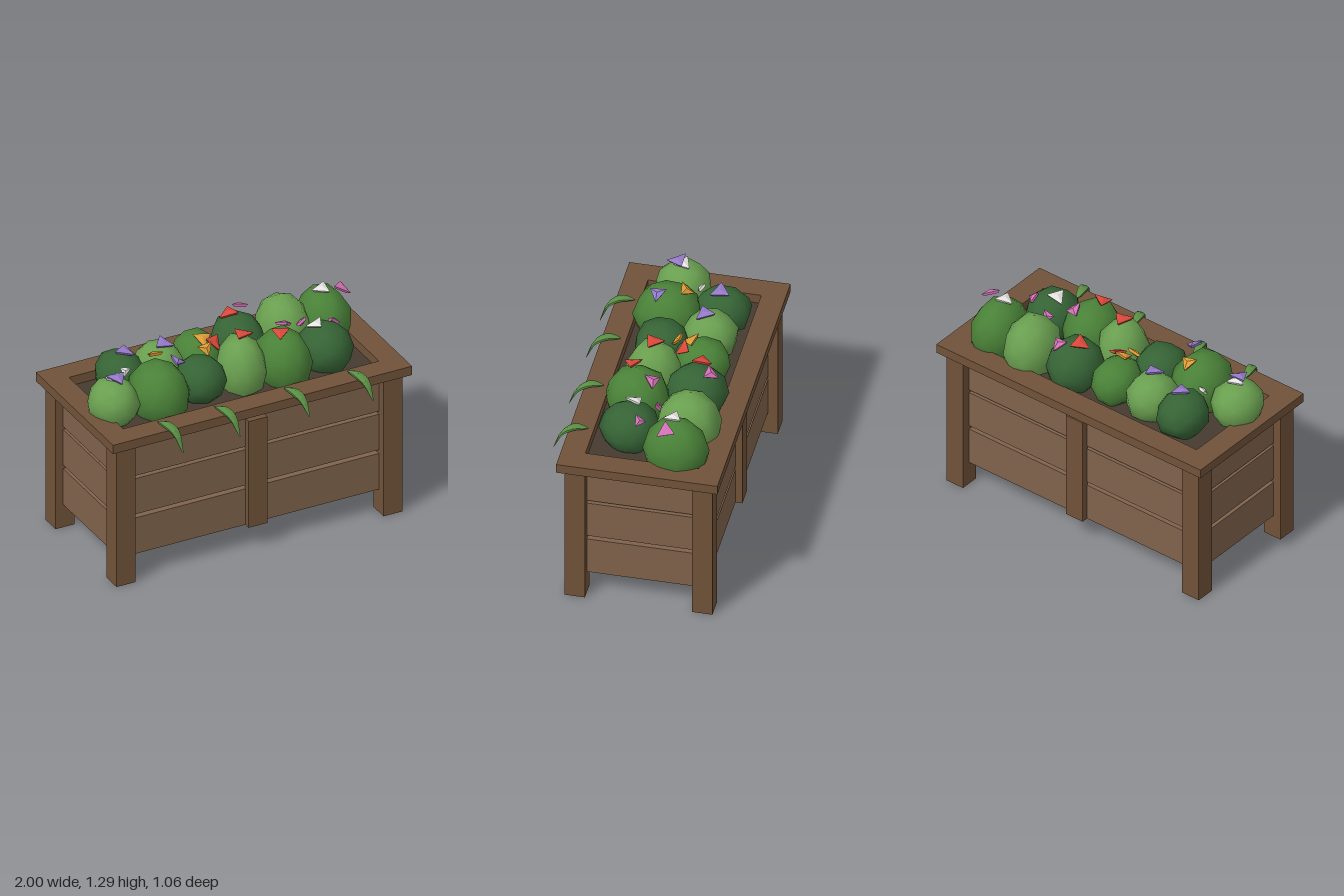
import * as THREE from 'three';

const ZC = -0.045; // centre of the box, front to back
const paint = (color, flat = false) =>
  new THREE.MeshStandardMaterial({ color, flatShading: flat });
const postWood = paint(0x705239), slatWood = paint(0x7f624b);
const soilMat = paint(0x463a30), floorMat = paint(0x3a2d22);
const greens = {
  light: paint(0x6aa050), mid: paint(0x4a8238), dark: paint(0x366436),
};
const petals = {
  purple: paint(0x9479c8, true), white: paint(0xe4e2e0, true), red: paint(0xd8483a, true),
  pink: paint(0xd070b4, true), orange: paint(0xdc9c38, true),
};

// Box given by its lower and upper corner
function slab(parent, name, mat, [x0, y0, z0], [x1, y1, z1]) {
  const mesh = new THREE.Mesh(new THREE.BoxGeometry(x1 - x0, y1 - y0, z1 - z0), mat);
  mesh.name = name;
  mesh.position.set((x0 + x1) / 2, (y0 + y1) / 2, (z0 + z1) / 2);
  parent.add(mesh);
}

function makePlanter() {
  const g = new THREE.Group();
  g.name = 'planterBox';
  const rows = [[0.155, 0.4], [0.425, 0.668], [0.688, 0.935]];
  for (const s of [-1, 1]) {
    const side = s > 0 ? 'Left' : 'Right', face = s > 0 ? 'front' : 'back';
    const span = (a, b) => [Math.min(s * a, s * b), Math.max(s * a, s * b)];
    // Corner posts
    for (const t of [-1, 1]) {
      const [x0, x1] = span(0.83, 0.955);
      const zm = ZC + t * 0.386;
      slab(g, (t > 0 ? 'front' : 'back') + side + 'Post', postWood,
        [x0, 0, zm - 0.0625], [x1, 0.94, zm + 0.0625]);
    }
    // Slats on the long and the short walls
    const [zs0, zs1] = span(0.345, 0.39), [xs0, xs1] = span(0.86, 0.905);
    for (const [y0, y1] of rows) {
      slab(g, face + 'Slat', slatWood, [-0.84, y0, ZC + zs0], [0.84, y1, ZC + zs1]);
      slab(g, 'end' + side + 'Slat', slatWood, [xs0, y0, ZC - 0.34], [xs1, y1, ZC + 0.34]);
    }
    // Upright batten in the middle of each long wall
    const [zb0, zb1] = span(0.385, 0.432);
    slab(g, face + 'Batten', postWood, [-0.063, 0.155, ZC + zb0], [0.063, 0.88, ZC + zb1]);
  }
  slab(g, 'floor', floorMat, [-0.865, 0.148, ZC - 0.35], [0.865, 0.18, ZC + 0.35]);
  slab(g, 'soil', soilMat, [-0.865, 0.86, ZC - 0.35], [0.865, 0.938, ZC + 0.35]);

  // Rim board with a rectangular opening
  const rect = (P, x, z) => {
    const p = new P();
    p.moveTo(-x, -z); p.lineTo(x, -z); p.lineTo(x, z); p.lineTo(-x, z); p.closePath();
    return p;
  };
  const shape = rect(THREE.Shape, 1, 0.488);
  shape.holes.push(rect(THREE.Path, 0.855, 0.343));
  const rim = new THREE.Mesh(
    new THREE.ExtrudeGeometry(shape, { depth: 0.06, bevelEnabled: false }).rotateX(-Math.PI / 2),
    postWood);
  rim.name = 'rim';
  rim.position.set(0, 0.94, ZC);
  g.add(rim);
  return g;
}

// x, z, half width, half depth, top, shade
const BUSHES = [
  [-0.8, 0.07, 0.155, 0.168, 1.21, 'light'], [-0.51, 0.1, 0.18, 0.205, 1.26, 'mid'],
  [-0.22, 0.07, 0.155, 0.165, 1.2, 'dark'], [0.06, 0.06, 0.15, 0.17, 1.27, 'light'],
  [0.32, 0.1, 0.17, 0.195, 1.26, 'mid'], [0.61, 0.08, 0.165, 0.18, 1.215, 'dark'],
  [-0.61, -0.21, 0.15, 0.175, 1.2, 'dark'], [-0.36, -0.19, 0.155, 0.165, 1.21, 'light'],
  [-0.1, -0.2, 0.145, 0.17, 1.2, 'mid'], [0.19, -0.23, 0.17, 0.185, 1.23, 'dark'],
  [0.5, -0.25, 0.165, 0.195, 1.27, 'light'], [0.76, -0.23, 0.16, 0.2, 1.265, 'mid'],
];
const BUSH_Y = 1.05;

// Leafy mound: a coarse ball with a gentle uneven surface
function makeBush([x, z, rx, rz, top, shade], i) {
  const geo = new THREE.IcosahedronGeometry(1, 1);
  const p = geo.attributes.position, v = new THREE.Vector3();
  for (let k = 0; k < p.count; k++) {
    v.fromBufferAttribute(p, k);
    v.multiplyScalar(1 + 0.06 * Math.sin(v.x * 5 + i * 2.1) * Math.cos(v.z * 4 - v.y * 3 + i));
    p.setXYZ(k, v.x, v.y, v.z);
  }
  geo.rotateY(i * 1.3);
  const bush = new THREE.Mesh(geo, greens[shade]);
  bush.name = 'bush';
  bush.position.set(x, BUSH_Y, z);
  bush.scale.set(rx, top - BUSH_Y, rz);
  return bush;
}

// x, y, z, colour, size
const FLOWERS = [
  [-0.79, 1.225, 0.1, 'purple', 0.07], [-0.79, 1.21, 0.07, 'white', 0.065],
  [-0.585, 1.2, -0.2, 'purple', 0.07], [-0.345, 1.21, -0.16, 'purple', 0.07],
  [-0.49, 1.25, -0.01, 'orange', 0.06], [-0.41, 1.26, 0.14, 'purple', 0.06],
  [-0.1, 1.19, -0.13, 'orange', 0.065], [-0.12, 1.17, -0.05, 'orange', 0.055],
  [-0.04, 1.17, -0.1, 'red', 0.065], [0.14, 1.24, -0.25, 'red', 0.07],
  [0.24, 1.23, -0.32, 'pink', 0.06], [0.065, 1.275, 0.06, 'red', 0.07],
  [0.28, 1.265, 0.14, 'red', 0.065], [0.38, 1.23, 0, 'pink', 0.06],
  [0.56, 1.21, 0.06, 'white', 0.065], [0.74, 1.265, -0.21, 'white', 0.065],
  [0.86, 1.25, -0.19, 'pink', 0.065], [0.53, 1.16, -0.07, 'pink', 0.045],
  [0.7, 1.17, 0.01, 'pink', 0.045], [-0.65, 1.15, -0.07, 'white', 0.04],
];

// Three-sided blossom facing away from its nearest bush
function makeFlower([x, y, z, color, r], i) {
  const g = new THREE.Group();
  g.name = 'flower';
  const base = new THREE.Mesh(new THREE.CylinderGeometry(r, r * 0.75, 0.016, 3), petals[color]);
  base.name = 'petals';
  const crown = new THREE.Mesh(new THREE.ConeGeometry(r, 0.012, 3), petals[color]);
  crown.name = 'blossomTop';
  crown.position.y = 0.014;
  const dist = (b) => Math.hypot(b[0] - x, b[1] - z);
  const near = BUSHES.reduce((a, b) => (dist(b) < dist(a) ? b : a));
  const out = new THREE.Vector3(x - near[0], y - BUSH_Y, z - near[1]).normalize();
  g.quaternion.setFromUnitVectors(new THREE.Vector3(0, 1, 0), out);
  g.rotateY(i * 2.4);
  g.position.set(x, y, z);
  g.add(base, crown);
  return g;
}

// Trailing leaf that arches over the front rim and tapers to a point
function makeLeaf(x, drop) {
  const path = new THREE.CatmullRomCurve3([
    [-0.02, 1.01, 0.33], [0, 1.022, 0.41], [0.025, 0.99, 0.475], [0.045, drop, 0.525],
  ].map((a) => new THREE.Vector3(...a)));
  const geo = new THREE.CylinderGeometry(1, 1, 1, 6, 8);
  const p = geo.attributes.position;
  for (let k = 0; k < p.count; k++) {
    const t = 0.5 - p.getY(k);
    const c = path.getPoint(t), d = path.getTangent(t);
    const w = 0.004 + 0.03 * Math.sin(Math.PI * Math.pow(t, 0.8));
    const up = p.getZ(k) * w * 0.4;
    p.setXYZ(k, c.x + p.getX(k) * w, c.y + up * d.z, c.z - up * d.y);
  }
  geo.computeVertexNormals();
  const leaf = new THREE.Mesh(geo, new THREE.MeshStandardMaterial({
    color: 0x5a9045, flatShading: true, side: THREE.DoubleSide }));
  leaf.name = 'trailingLeaf';
  leaf.position.x = x;
  return leaf;
}

export function createModel() {
  const model = new THREE.Group();
  model.name = 'flowerPlanter';
  const plants = new THREE.Group();
  plants.name = 'plants';
  BUSHES.forEach((b, i) => plants.add(makeBush(b, i)));
  FLOWERS.forEach((f, i) => plants.add(makeFlower(f, i)));
  [[-0.62, 0.875], [-0.24, 0.885], [0.225, 0.895], [0.65, 0.89]]
    .forEach(([x, drop]) => plants.add(makeLeaf(x, drop)));
  model.add(makePlanter(), plants);
  return model;
}
